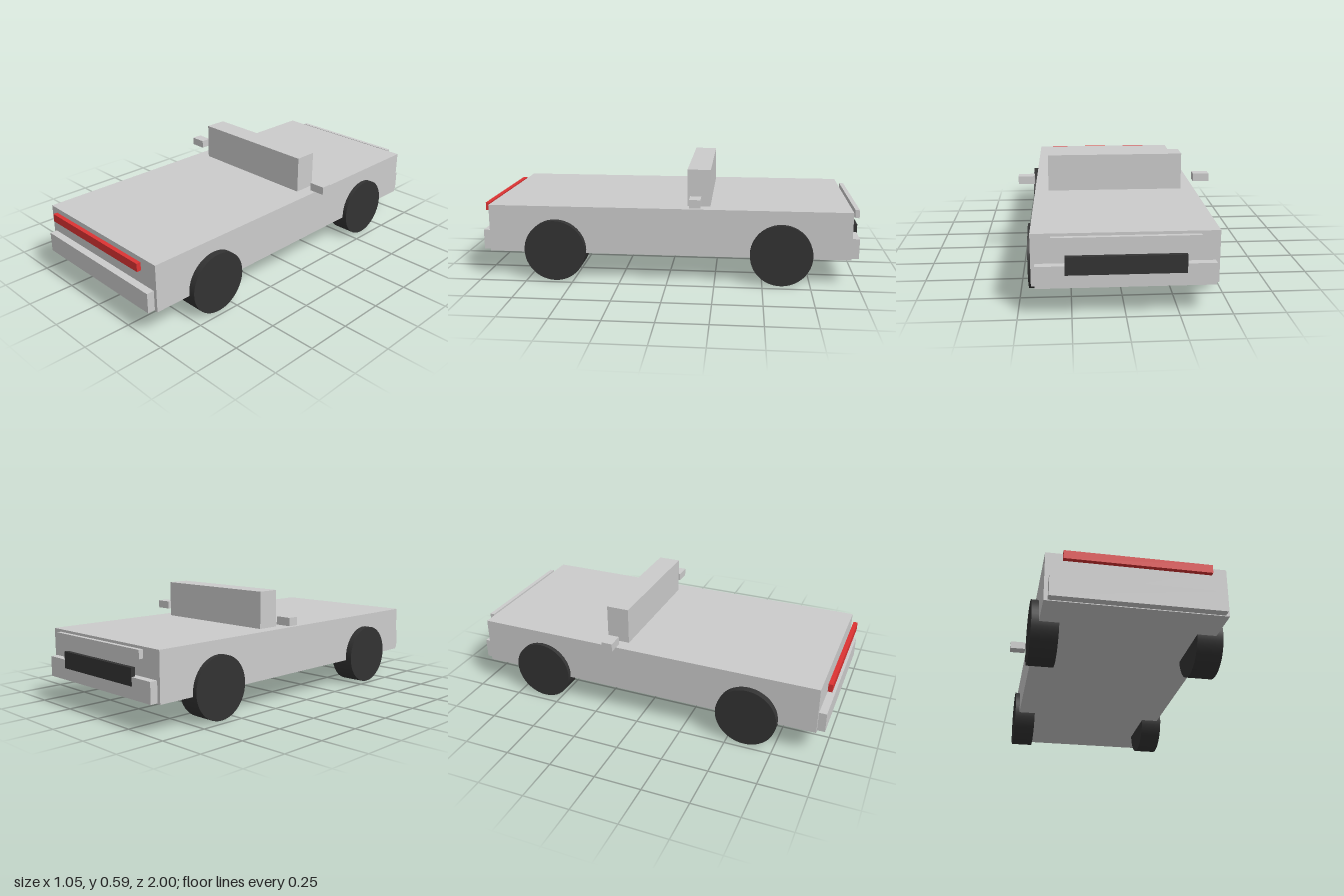
import * as THREE from 'three';

const grey = new THREE.MeshStandardMaterial({ color: 0xcccccc });
const dark = new THREE.MeshStandardMaterial({ color: 0x333333 });
const red = new THREE.MeshStandardMaterial({ color: 0xdd3333 });

// Box given by its extents along each axis
function box(name, [x0, x1], [y0, y1], [z0, z1], material = grey) {
  const mesh = new THREE.Mesh(new THREE.BoxGeometry(x1 - x0, y1 - y0, z1 - z0), material);
  mesh.position.set((x0 + x1) / 2, (y0 + y1) / 2, (z0 + z1) / 2);
  mesh.name = name;
  return mesh;
}

// Wheel lying along x between two distances from the centre line
function wheel(name, side, inner, outer, z) {
  const radius = 0.163;
  const geometry = new THREE.CylinderGeometry(radius, radius, outer - inner, 48).rotateZ(Math.PI / 2);
  const mesh = new THREE.Mesh(geometry, dark);
  mesh.position.set(side * (inner + outer) / 2, radius, z);
  mesh.name = name;
  return mesh;
}

export function createModel() {
  const car = new THREE.Group();
  car.name = 'car';

  // Body and cabin
  car.add(box('body', [-0.435, 0.435], [0.144, 0.397], [-0.957, 0.957]));
  car.add(box('cabin', [-0.362, 0.362], [0.397, 0.593], [-0.222, -0.1]));

  // Bumpers
  car.add(box('frontBumper', [-0.416, 0.416], [0.148, 0.254], [0.95, 0.997]));
  car.add(box('backBumper', [-0.416, 0.416], [0.148, 0.254], [-0.997, -0.95]));

  // Light bars and rear plate, standing just clear of the body
  car.add(box('frontLightBar', [-0.354, 0.354], [0.347, 0.39], [0.977, 1], red));
  car.add(box('backLightBar', [-0.342, 0.342], [0.347, 0.39], [-1, -0.977]));
  car.add(box('rearPlate', [-0.28, 0.28], [0.21, 0.298], [-1, -0.977], dark));

  // Wheels and mirrors on both sides
  for (const [label, side] of [['left', 1], ['right', -1]]) {
    car.add(wheel(label + 'FrontWheel', side, 0.338, 0.471, 0.597));
    car.add(wheel(label + 'BackWheel', side, 0.34, 0.459, -0.597));
    const mirrorX = side > 0 ? [0.438, 0.525] : [-0.525, -0.438];
    car.add(box(label + 'Mirror', mirrorX, [0.425, 0.468], [-0.178, -0.12]));
  }
  return car;
}
